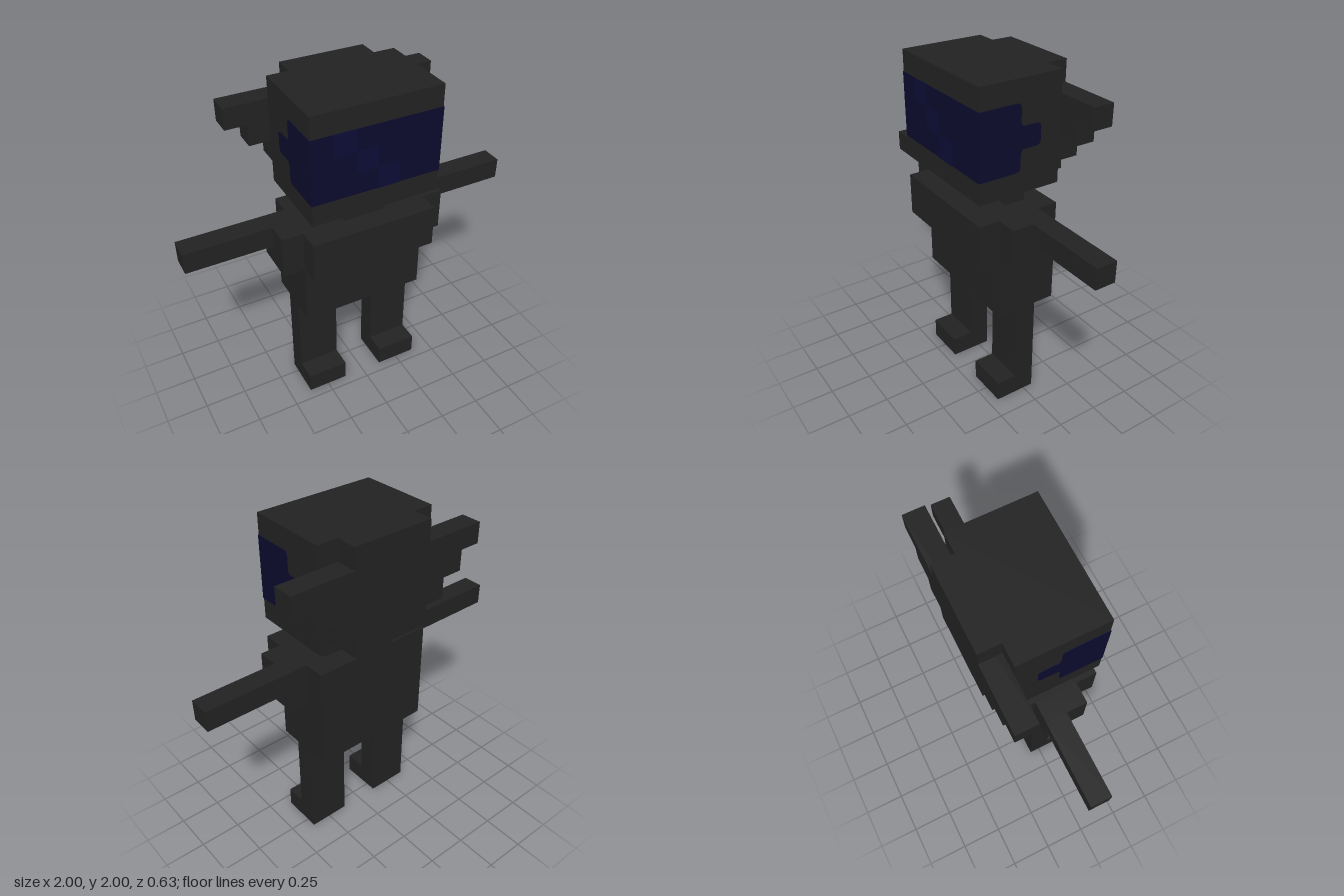
import * as THREE from 'three';

const U = 0.125; // edge of one block

export function createModel() {
  const model = new THREE.Group();
  model.name = 'blockFigure';

  const body = new THREE.MeshStandardMaterial({ color: 0x222222 });
  body.name = 'charcoal';
  const glass = new THREE.MeshStandardMaterial({ color: 0x0b0b2d });
  glass.name = 'navyGlass';
  const glint = new THREE.MeshStandardMaterial({ color: 0x0c0c35 });
  glint.name = 'navyGlint';

  // Box given by its minimum and maximum on each axis
  function box(name, [x0, x1], [y0, y1], [z0, z1], material = body) {
    const mesh = new THREE.Mesh(new THREE.BoxGeometry(x1 - x0, y1 - y0, z1 - z0), material);
    mesh.position.set((x0 + x1) / 2, (y0 + y1) / 2, (z0 + z1) / 2);
    mesh.name = name;
    model.add(mesh);
  }
  // Box in block units
  const blocks = (name, x, y, z) =>
    box(name, ...[x, y, z].map((r) => r.map((v) => v * U)));

  // Mirrored pair
  function pair(name, x, y, z) {
    blocks('left' + name, x, y, z);
    blocks('right' + name, [-x[1], -x[0]], y, z);
  }

  // Legs
  pair('Leg', [1, 3], [0, 4], [-0.5, 0.5]);
  pair('Foot', [1, 3], [0, 1], [0.5, 1.5]);
  blocks('pelvis', [-3, 3], [4, 5], [-0.5, 0.5]);

  // Torso and arms
  blocks('torso', [-3, 3], [5, 10], [-1.5, 1.5]);
  blocks('chest', [-3, 3], [8, 10], [1.5, 2.5]);
  pair('Shoulder', [3, 4], [8, 10], [-0.5, 1.5]);
  pair('Arm', [4, 8], [9, 10], [-0.5, 0.5]);

  // Cross-shaped neck
  blocks('neck', [-1, 1], [10, 11], [-1.5, 1.5]);
  pair('NeckSide', [1, 2], [10, 11], [-0.5, 0.5]);

  // Head with a stepped, winged back layer
  blocks('head', [-3, 3], [11, 16], [-1.5, 2.5]);
  [2, 3, 4, 5, 2].forEach((w, i) =>
    blocks('headBackRow' + (i + 1), [-w, w], [11 + i, 12 + i], [-2.5, -1.5]));

  // Visor front with a diagonal glint
  const t = 0.003;
  const front = 2.5 * U;
  box('visorFront', [-3 * U - t, 3 * U + t], [12 * U, 15 * U], [front, front + t], glass);
  for (let i = 0; i < 3; i++) {
    box('visorGlint' + (i + 1), [-i * U, (1 - i) * U], [(12 + i) * U, (13 + i) * U],
      [front + t, front + 2 * t], glint);
  }

  // Visor sides: softened outline in (z, y), narrowing to a temple tab
  const r = 0.028;
  const corners = [[2.5, 12], [0.5, 12], [0.5, 13], [-0.5, 13], [-0.5, 14], [0.5, 14], [0.5, 15], [2.5, 15]]
    .map(([z, y]) => new THREE.Vector2(z * U, y * U));
  const outline = new THREE.Shape();
  outline.moveTo(corners[0].x, corners[0].y);
  for (let i = 1; i < corners.length - 1; i++) {
    const c = corners[i];
    const toward = (p) => c.clone().add(p.clone().sub(c).setLength(r));
    const a = toward(corners[i - 1]);
    const b = toward(corners[i + 1]);
    outline.lineTo(a.x, a.y);
    outline.quadraticCurveTo(c.x, c.y, b.x, b.y);
  }
  outline.lineTo(corners[7].x, corners[7].y);
  outline.closePath();
  const side = new THREE.ExtrudeGeometry(outline, { depth: t, bevelEnabled: false, curveSegments: 4 });
  side.rotateY(-Math.PI / 2); // outline now lies in z and y, thickness runs to -x
  for (const [name, x] of [['leftVisorSide', 3 * U + t], ['rightVisorSide', -3 * U]]) {
    const mesh = new THREE.Mesh(side, glass);
    mesh.position.x = x;
    mesh.name = name;
    model.add(mesh);
  }

  return model;
}
